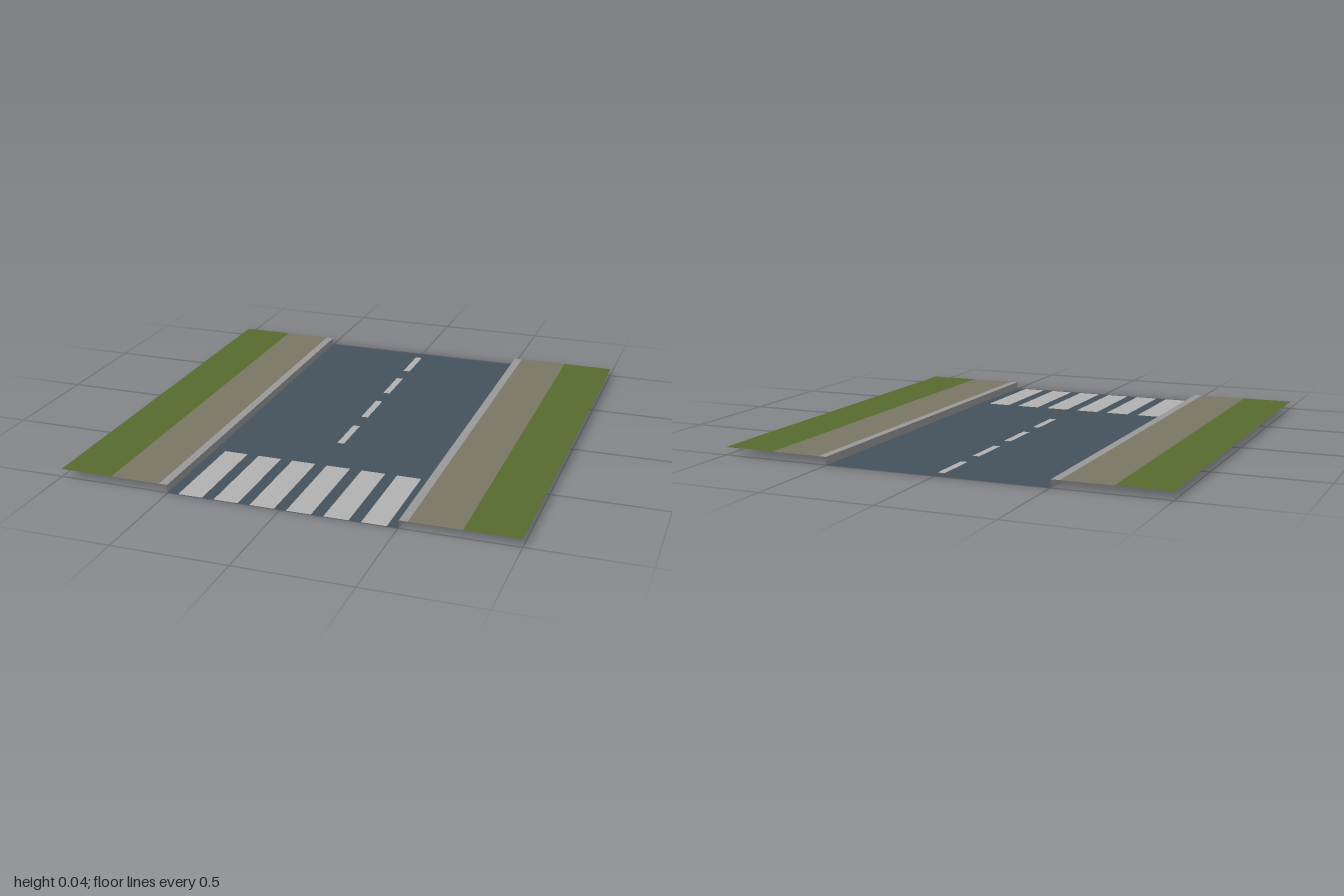
import * as THREE from 'three';

const KERB_HEIGHT = 0.035;
const ROAD_EDGE = 0.503;
const KERB_EDGE = 0.54;
const PATH_EDGE = 0.763;

const paint = (color) => new THREE.MeshStandardMaterial({ color, side: THREE.DoubleSide });

// Flat horizontal sheet spanning x0..x1 and z0..z1 at height y
function sheet(name, material, x0, x1, z0, z1, y) {
  const geometry = new THREE.PlaneGeometry(x1 - x0, z1 - z0).rotateX(-Math.PI / 2);
  const mesh = new THREE.Mesh(geometry, material);
  mesh.position.set((x0 + x1) / 2, y, (z0 + z1) / 2);
  mesh.name = name;
  return mesh;
}

export function createModel() {
  const group = new THREE.Group();
  group.name = 'roadSection';

  const asphalt = paint(0x44525c);
  const marking = paint(0xb2b2b2);
  const kerb = paint(0x999999);
  const paving = paint(0x7a7766);
  const grass = paint(0x556b2f);

  // Carriageway
  group.add(sheet('road', asphalt, -ROAD_EDGE, ROAD_EDGE, -1, 1, 0));

  // Kerb, pavement and grass verge on each side
  for (const [side, s] of [['left', 1], ['right', -1]]) {
    const strip = (name, material, a, b) =>
      group.add(sheet(side + name, material, Math.min(s * a, s * b), Math.max(s * a, s * b), -1, 1, KERB_HEIGHT));
    strip('KerbTop', kerb, ROAD_EDGE, KERB_EDGE);
    strip('Pavement', paving, KERB_EDGE, PATH_EDGE);
    strip('Verge', grass, PATH_EDGE, 1);

    // Upright kerb face, turned towards the road
    const face = new THREE.Mesh(new THREE.PlaneGeometry(2, KERB_HEIGHT), kerb);
    face.name = side + 'KerbFace';
    face.rotation.y = -s * Math.PI / 2;
    face.position.set(s * ROAD_EDGE, KERB_HEIGHT / 2, 0);
    group.add(face);
  }

  // Dashed centre line
  for (let i = 0; i < 4; i++) {
    const z = -0.942 + i * 0.333;
    group.add(sheet('centreDash', marking, -0.016, 0.016, z, z + 0.22, 0.001));
  }

  // Crossing stripes
  for (let i = 0; i < 6; i++) {
    const x = (i - 2.5) * 0.16;
    group.add(sheet('crossingStripe', marking, x - 0.054, x + 0.054, 0.527, 1, 0.001));
  }

  return group;
}
